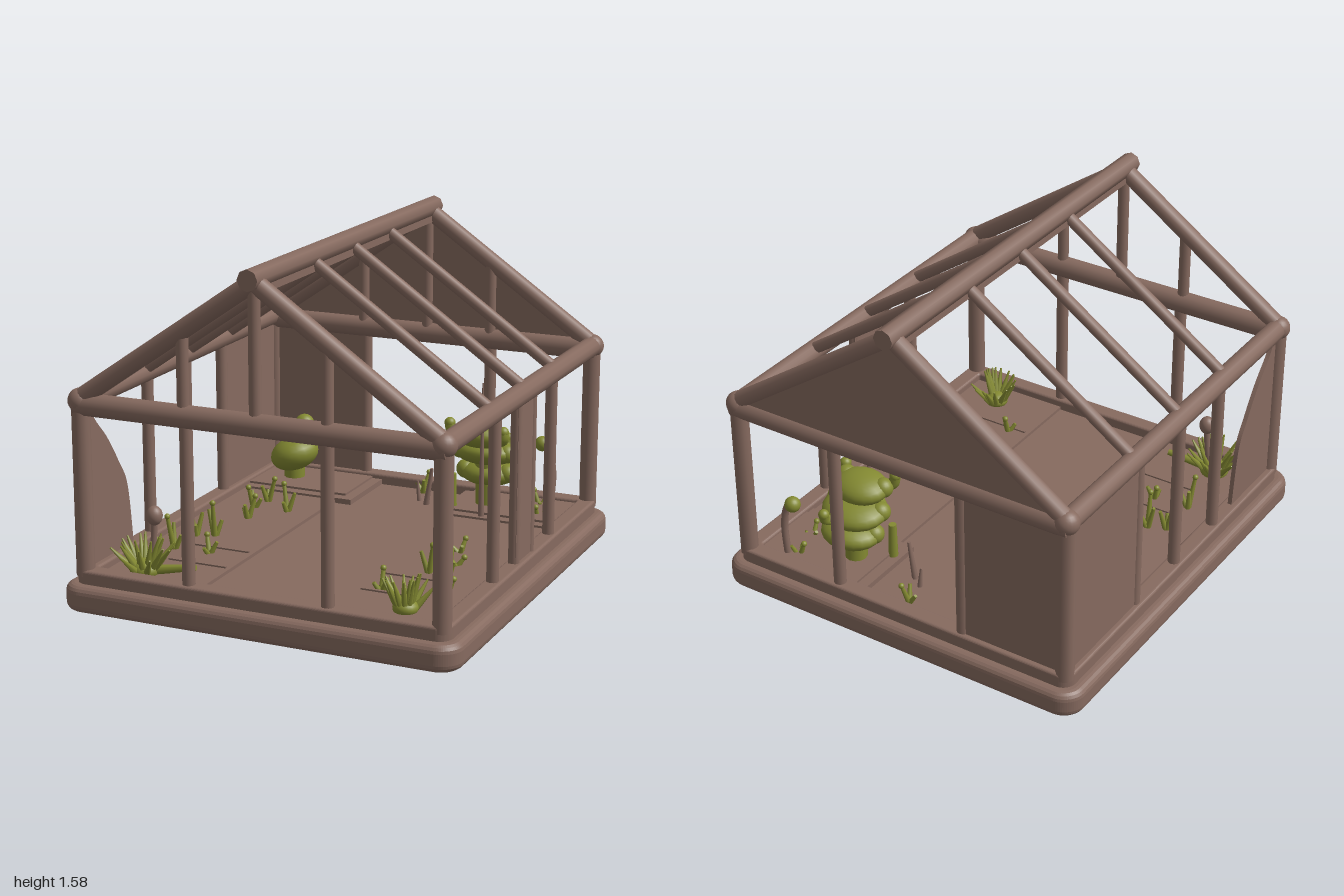
import * as THREE from 'three';

const wood = new THREE.MeshStandardMaterial({ color: 0x866a5f });
wood.name = 'woodBrown';
const leaf = new THREE.MeshStandardMaterial({ color: 0x848a32 });
leaf.name = 'leafOlive';

const V = (x, y, z) => new THREE.Vector3(x, y, z);

export function createModel() {
  const model = new THREE.Group();
  model.name = 'greenhouse';
  let parent = model;

  const group = (name) => {
    parent = new THREE.Group();
    parent.name = name;
    model.add(parent);
  };
  const add = (name, geo, mat = wood) => {
    const m = new THREE.Mesh(geo, mat);
    m.name = name;
    parent.add(m);
    return m;
  };
  const box = (name, x0, x1, y0, y1, z0, z1) =>
    add(name, new THREE.BoxGeometry(x1 - x0, y1 - y0, z1 - z0))
      .position.set((x0 + x1) / 2, (y0 + y1) / 2, (z0 + z1) / 2);
  // Round bar from a to b
  const bar = (name, a, b, r, mat = wood, rTop = r, sides = 12) => {
    const d = b.clone().sub(a);
    const m = add(name, new THREE.CylinderGeometry(rTop, r, d.length(), sides), mat);
    m.position.copy(a).add(b).multiplyScalar(0.5);
    m.quaternion.setFromUnitVectors(V(0, 1, 0), d.normalize());
    return m;
  };
  const ball = (name, p, r, mat = wood, sx = 1, sy = 1, sz = 1) => {
    const m = add(name, new THREE.SphereGeometry(r, 20, 14), mat);
    m.position.copy(p);
    m.scale.set(sx, sy, sz);
    return m;
  };
  const tube = (name, pts, r, mat) => {
    add(name, new THREE.TubeGeometry(new THREE.CatmullRomCurve3(pts), 14, r, 8), mat);
    ball(name + 'Tip', pts[pts.length - 1], r, mat);
  };
  // Rounded rectangle outline with half sizes w, d
  const outline = (w, d, r, S = THREE.Shape) => {
    const s = new S();
    s.absarc(w - r, d - r, r, 0, Math.PI / 2);
    s.absarc(r - w, d - r, r, Math.PI / 2, Math.PI);
    s.absarc(r - w, r - d, r, Math.PI, Math.PI * 1.5);
    s.absarc(w - r, r - d, r, Math.PI * 1.5, Math.PI * 2);
    s.closePath();
    return s;
  };
  const slab = (name, shape, y0, y1, bevel) => {
    const g = new THREE.ExtrudeGeometry(shape, {
      depth: y1 - y0 - 2 * bevel, bevelSize: bevel, bevelThickness: bevel,
      bevelOffset: -bevel, bevelSegments: 4, curveSegments: 8 });
    add(name, g.rotateX(-Math.PI / 2).translate(0, y0 + bevel, 0));
  };

  // Stepped base with a raised rim around the floor
  group('base');
  slab('foot', outline(0.83, 0.92, 0.06), 0, 0.06, 0.015);
  slab('plinth', outline(0.91, 1, 0.1), 0.02, 0.14, 0.035);
  const rim = outline(0.86, 0.95, 0.06);
  rim.holes.push(outline(0.78, 0.87, 0.01, THREE.Path));
  slab('rim', rim, 0.12, 0.2, 0.012);
  box('floor', -0.79, 0.79, 0.12, 0.15, -0.88, 0.88);
  for (const s of [-1, 1]) {
    const span = (a, b) => [Math.min(a * s, b * s), Math.max(a * s, b * s)];
    box('plantBed', ...span(0.3, 0.79), 0.13, 0.165, -0.88, 0.88);
    box('cornerPlatform', ...span(0.22, 0.79), 0.13, 0.175, -0.88, -0.5);
    box('cornerPlatformTop', ...span(0.27, 0.79), 0.13, 0.185, -0.88, -0.55);
    for (const z of [0.35, 0.57]) box('bedDivider', ...span(0.32, 0.6), 0.13, 0.172, z, z + 0.015);
  }

  // Wall frame
  group('wallFrame');
  for (const x of [-0.82, 0.82]) {
    for (const z of [-0.91, 0.91]) {
      bar('cornerPost', V(x, 0.17, z), V(x, 0.94, z), 0.04);
      ball('cornerJoint', V(x, 0.94, z), 0.054);
    }
    for (const z of [-0.35, 0.35]) bar('sidePost', V(x, 0.15, z), V(x, 0.94, z), 0.027);
    bar('eaveBeam', V(x, 0.94, -0.93), V(x, 0.94, 0.93), 0.046);
  }
  bar('leftMiddlePost', V(-0.82, 0.15, 0), V(-0.82, 0.94, 0), 0.027);
  for (const z of [-0.91, 0.91]) {
    bar('endBeam', V(-0.84, 0.925, z), V(0.84, 0.925, z), 0.05);
    for (const x of [-0.32, 0.32]) bar('doorPost', V(x, 0.15, z), V(x, 0.92, z), 0.028);
  }

  // Roof: ridge, rafters and gable posts
  group('roofFrame');
  bar('ridgeCap', V(0, 1.53, -0.97), V(0, 1.53, 0.97), 0.046, wood, 0.046, 8);
  box('ridgeBeam', -0.03, 0.03, 1.465, 1.53, -0.91, 0.91);
  for (const z of [-0.91, -0.39, 0, 0.39, 0.91]) {
    const end = Math.abs(z) > 0.9;
    for (const s of [-1, 1])
      bar('rafter', V(s * 0.82, 0.95, z), V(0, 1.515, z), end ? 0.04 : 0.027);
  }
  for (const z of [-0.9, 0.91])
    for (const x of [-0.33, 0, 0.32])
      bar('gablePost', V(x, 0.93, z), V(x, 1.5 - Math.abs(x) * 0.69, z), 0.026);

  // Solid wall panels
  group('panels');
  box('backPanel', -0.8, -0.32, 0.16, 0.93, -0.925, -0.895);
  box('leftBackPanel', -0.835, -0.805, 0.16, 0.94, -0.9, -0.35);
  box('rightNarrowPanel', 0.8, 0.835, 0.16, 0.94, -0.11, 0.11);
  for (const z of [-0.09, 0.09]) bar('narrowPanelEdge', V(0.82, 0.16, z), V(0.82, 0.94, z), 0.024);
  const gable = new THREE.Shape([
    new THREE.Vector2(-0.8, 0.93), new THREE.Vector2(0.8, 0.93), new THREE.Vector2(0, 1.51)]);
  add('backGablePanel', new THREE.ExtrudeGeometry(gable, { depth: 0.03, bevelEnabled: false }))
    .position.z = -0.935;
  // Broken pane with a curved edge; shape x becomes world z
  const pane = new THREE.Shape();
  pane.moveTo(0.9, 0.18);
  pane.lineTo(0.9, 0.92);
  pane.lineTo(0.86, 0.92);
  pane.splineThru([[0.82, 0.84], [0.72, 0.73], [0.63, 0.6], [0.56, 0.47], [0.52, 0.18]]
    .map(([a, b]) => new THREE.Vector2(a, b)));
  const paneGeo = new THREE.ExtrudeGeometry(pane, { depth: 0.02, bevelEnabled: false });
  add('brokenPane', paneGeo.rotateY(-Math.PI / 2)).position.x = -0.81;

  // Big layered plant
  group('layeredPlant');
  [[0.385, 0.525, -0.65, 0.13, 0.105], [0.385, 0.435, -0.7, 0.155, 0.13], [0.39, 0.33, -0.73, 0.14, 0.115]]
    .forEach(([x, y, z, rx, rz], i) => {
      ball('layer', V(x, y, z), 1, leaf, rx, 0.062, rz).rotation.x = i === 2 ? 0 : -0.15;
      for (const s of [-1, 1]) ball('layerLobe', V(x + s * rx * 0.75, y + 0.01, z + 0.03), 0.045, leaf);
    });
  bar('core', V(0.39, 0.16, -0.7), V(0.39, 0.5, -0.68), 0.05, leaf);
  tube('bud', [V(0.3, 0.52, -0.6), V(0.26, 0.55, -0.58), V(0.25, 0.59, -0.58)], 0.026, leaf);
  tube('bud', [V(0.46, 0.52, -0.6), V(0.51, 0.54, -0.59), V(0.51, 0.57, -0.59)], 0.026, leaf);
  tube('backBud', [V(0.42, 0.42, -0.8), V(0.44, 0.44, -0.84), V(0.44, 0.47, -0.85)], 0.024, leaf);
  bar('tallSpike', V(0.43, 0.15, -0.53), V(0.43, 0.81, -0.53), 0.016, wood, 0.004, 8);
  bar('sideStem', V(0.26, 0.15, -0.6), V(0.26, 0.34, -0.6), 0.022, leaf, 0.018, 8);

  // Hooked stem with a round bud
  group('hookedPlant');
  tube('stem', [V(0.66, 0.16, -0.84), V(0.67, 0.33, -0.84), V(0.65, 0.43, -0.84), V(0.61, 0.47, -0.85)], 0.016, wood);
  ball('bud', V(0.61, 0.46, -0.85), 0.036, leaf);

  // Squat dimpled plant in the back left corner
  group('squatPlant');
  ball('body', V(-0.62, 0.3, -0.72), 0.12, leaf, 1, 0.68, 1).rotation.z = 0.35;
  ball('top', V(-0.57, 0.46, -0.73), 0.045, leaf, 1, 0.9, 1);
  bar('neck', V(-0.6, 0.33, -0.72), V(-0.57, 0.46, -0.73), 0.035, leaf);
  bar('root', V(-0.62, 0.16, -0.72), V(-0.62, 0.3, -0.72), 0.05, leaf);
  ball('sideBud', V(-0.71, 0.3, -0.81), 0.035, leaf);

  // Spiky bushes made of tapered, outward leaning leaves
  const bush = (name, x, z, n, r, h) => {
    group(name);
    ball('heart', V(x, 0.18, z), r * 0.42, leaf, 1, 0.7, 1);
    for (let i = 0; i < n; i++) {
      const a = i * 2.4, k = 0.45 + 0.55 * ((i * 7) % n) / n;
      const dx = Math.cos(a) * r * k, dz = Math.sin(a) * r * k;
      const tip = V(x + dx, 0.17 + h * (1.15 - 0.65 * k), z + dz);
      bar('spike', V(x + dx * 0.2, 0.16, z + dz * 0.2), tip, 0.02, leaf, 0.004, 6);
    }
  };
  bush('frontLeftBush', -0.61, 0.77, 22, 0.16, 0.19);
  bar('longLeaf', V(-0.58, 0.18, 0.77), V(-0.38, 0.21, 0.74), 0.022, leaf, 0.014, 8);
  tube('bulbStem', [V(-0.6, 0.17, 0.76), V(-0.58, 0.28, 0.75), V(-0.57, 0.4, 0.75)], 0.014, wood);
  ball('bulb', V(-0.57, 0.42, 0.75), 0.036, wood, 1, 1.2, 1);
  bush('frontRightBush', 0.59, 0.74, 18, 0.13, 0.19);

  // Small sprouts along both beds: x, z, top height
  group('sprouts');
  [[-0.58, -0.35, 0.28], [-0.6, -0.24, 0.27], [-0.43, -0.25, 0.29], [-0.55, -0.08, 0.27],
    [-0.57, 0.21, 0.33], [-0.65, 0.24, 0.31], [0.52, -0.04, 0.22], [0.5, 0.27, 0.3],
    [0.58, 0.24, 0.31], [0.4, 0.55, 0.25], [0.68, 0.52, 0.25], [-0.65, 0.44, 0.32],
    [-0.48, 0.43, 0.24], [0.57, 0.13, 0.2], [0.66, -0.66, 0.22], [0.62, -0.81, 0.24], [0.02, -0.82, 0.25]]
    .forEach(([x, z, y], i) => {
      const a = i * 1.9;
      for (let j = 0; j < 3; j++) {
        const dx = Math.cos(a + j * 2.1) * 0.035, dz = Math.sin(a + j * 2.1) * 0.035;
        const top = 0.16 + (y - 0.16) * (1 - j * 0.28);
        bar('sprout', V(x, 0.15, z), V(x + dx, top, z + dz), 0.014, leaf, 0.008, 6);
        if (j === 0) ball('sproutTip', V(x + dx, top, z + dz), 0.013, leaf);
      }
    });
  bar('drySpike', V(0.1, 0.14, -0.66), V(0.13, 0.33, -0.66), 0.015, wood, 0.008, 6);
  bar('drySpike', V(0.05, 0.14, -0.7), V(0.04, 0.25, -0.7), 0.012, wood, 0.005, 6);

  return model;
}
